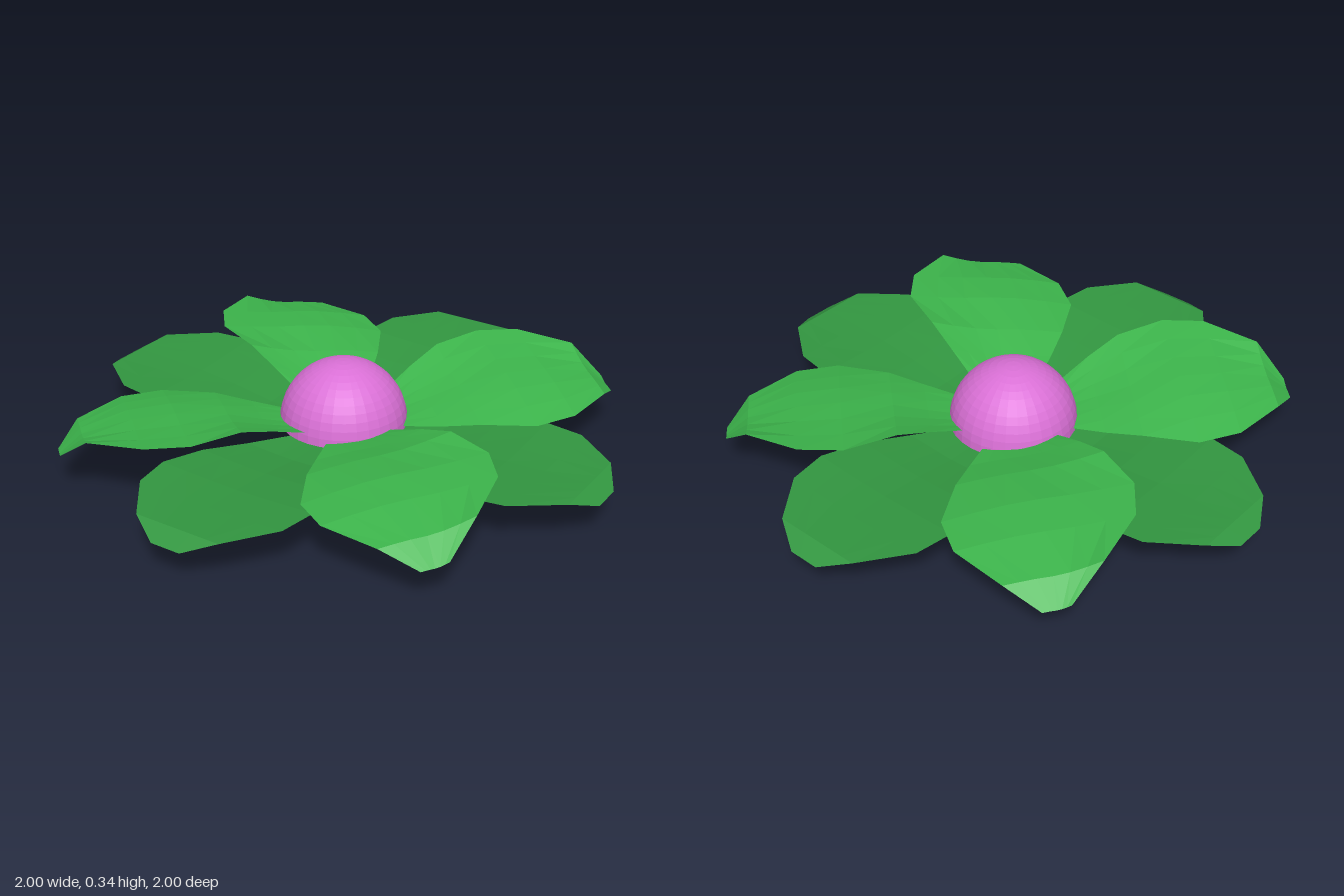
import * as THREE from 'three';

const mat = (color) => new THREE.MeshStandardMaterial({ color, flatShading: true, side: THREE.DoubleSide });

// Petal along +x, lofted from stations [distance, half width, middle height, left edge lift, right edge lift].
// "Left" edge is at -z, "right" edge at +z.
function petalGeometry(stations, bow) {
  const cols = 6, pos = [], index = [];
  stations.forEach(([s, w, y, lift, drop]) => {
    for (let j = 0; j <= cols; j++) {
      const t = (j / cols) * 2 - 1;
      const edge = t < 0 ? lift : drop;
      // edges of each row lie a little behind its middle
      pos.push(s - bow * w * t * t, y + edge * Math.pow(Math.abs(t), 1.4), w * t);
    }
  });
  const n = cols + 1;
  for (let i = 0; i < stations.length - 1; i++) {
    for (let j = 0; j < cols; j++) {
      const a = i * n + j, b = a + n;
      index.push(a, a + 1, b, b, a + 1, b + 1);
    }
  }
  const g = new THREE.BufferGeometry();
  g.setAttribute('position', new THREE.Float32BufferAttribute(pos, 3));
  g.setIndex(index);
  g.computeVertexNormals();
  return g;
}

export function createModel() {
  const model = new THREE.Group();
  const add = (name, geometry, material, x = 0, y = 0, z = 0) => {
    const mesh = new THREE.Mesh(geometry, material);
    mesh.name = name;
    mesh.position.set(x, y, z);
    model.add(mesh);
    return mesh;
  };
  const pink = mat(0xda70d6), leaf = mat(0x3cb44b), darkLeaf = mat(0x329640);

  // Flat lower petals on the axes
  const lower = petalGeometry([
    [0.04, 0.04, 0.1, 0, 0],
    [0.18, 0.11, 0.1, 0.005, 0.005],
    [0.32, 0.19, 0.105, 0.01, 0.01],
    [0.48, 0.26, 0.13, 0.012, 0.012],
    [0.64, 0.3, 0.147, 0.012, 0.012],
    [0.78, 0.28, 0.153, 0.008, 0.008],
    [0.94, 0.16, 0.158, 0, 0],
    [1.0, 0.055, 0.12, 0, 0],
  ], 0);

  // Arched, twisted upper petals on the diagonals
  const upper = petalGeometry([
    [0.05, 0.04, 0.12, 0, 0],
    [0.18, 0.12, 0.135, 0.02, -0.005],
    [0.3, 0.185, 0.165, 0.045, -0.02],
    [0.42, 0.245, 0.2, 0.055, -0.035],
    [0.6, 0.31, 0.228, 0.033, -0.06],
    [0.75, 0.285, 0.225, 0.035, -0.05],
    [0.92, 0.155, 0.195, 0.045, -0.02],
    [1.0, 0.045, 0.13, 0.015, -0.005],
  ], 0);

  for (let i = 0; i < 4; i++) {
    add('lowerPetal', lower, darkLeaf).rotation.y = i * Math.PI / 2;
    add('upperPetal', upper, leaf).rotation.y = i * Math.PI / 2 - 0.725;
  }

  // Flower centre: dome above, small core and cup below
  add('centreDome', new THREE.SphereGeometry(0.226, 32, 12, 0, Math.PI * 2, 0, Math.PI / 2), pink, -0.015, 0.115, -0.013);
  const core = add('centreCore', new THREE.SphereGeometry(0.105, 24, 12), pink, -0.015, 0.1, -0.027);
  core.scale.y = 0.4;
  add('baseCup', new THREE.SphereGeometry(0.112, 28, 10, 0, Math.PI * 2, Math.PI / 2, Math.PI / 2), darkLeaf, -0.018, 0.112, -0.01);

  return model;
}
